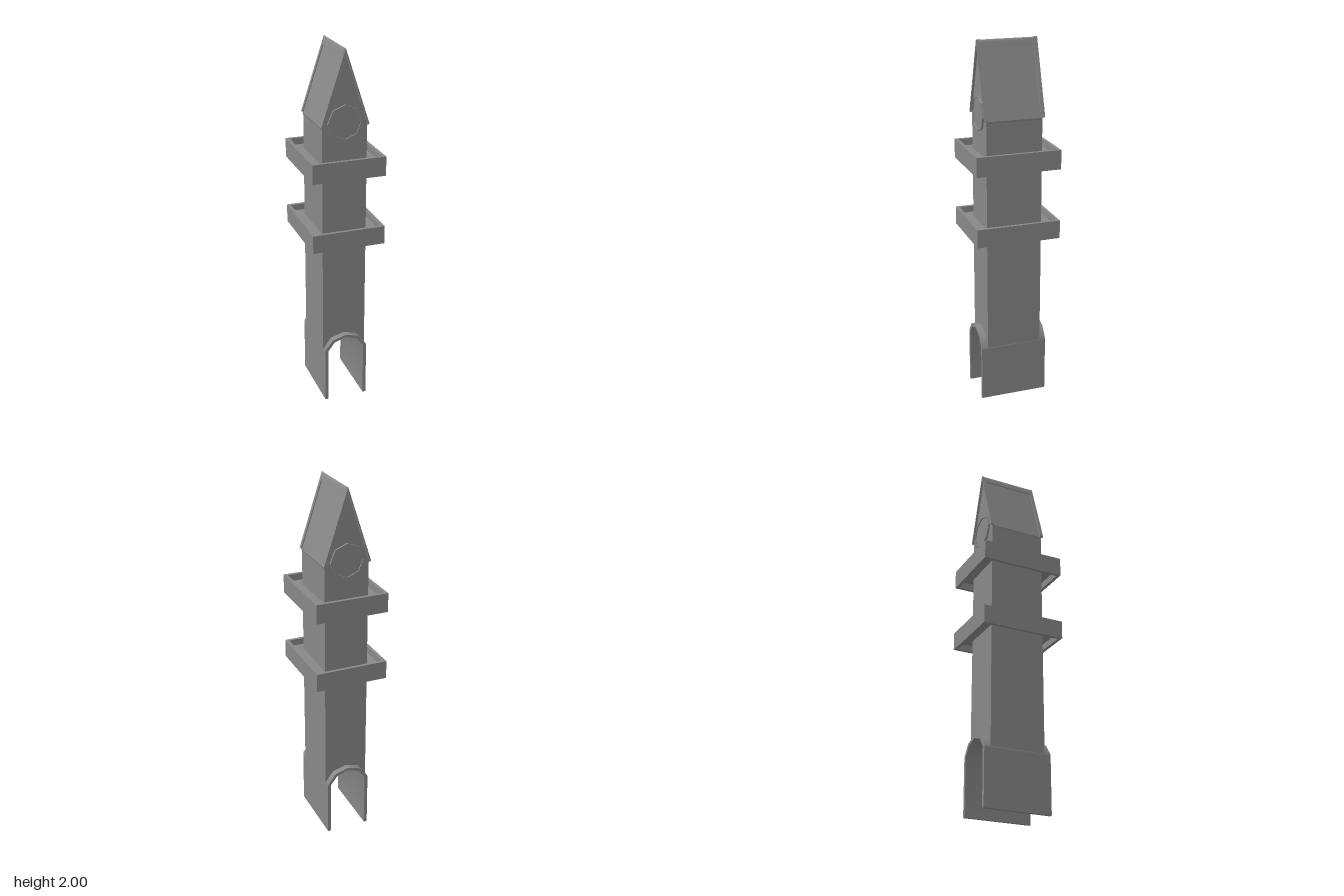
import * as THREE from 'three';
import { toCreasedNormals } from 'three/addons/utils/BufferGeometryUtils.js';

const material = new THREE.MeshStandardMaterial({ color: 0x888888 });

// Shape from points listed on the right half, mirrored to the left
function mirroredShape(half) {
  const left = half.filter(([x]) => x > 0).reverse().map(([x, y]) => [-x, y]);
  return new THREE.Shape([...half, ...left].map(([x, y]) => new THREE.Vector2(x, y)));
}

function octagon(r) {
  return Array.from({ length: 8 }, (_, i) =>
    new THREE.Vector2(r * Math.cos(i * Math.PI / 4), r * Math.sin(i * Math.PI / 4)));
}

export function createModel() {
  const group = new THREE.Group();

  function add(name, geometry, x = 0, y = 0, z = 0) {
    const mesh = new THREE.Mesh(geometry, material);
    mesh.name = name;
    mesh.position.set(x, y, z);
    group.add(mesh);
    return mesh;
  }

  // Extrude along z, centred on the given z
  function extrude(name, shape, depth, y = 0, z = 0) {
    const g = new THREE.ExtrudeGeometry(shape, { depth, bevelEnabled: false });
    g.translate(0, 0, -depth / 2);
    return add(name, g, 0, y, z);
  }

  // Round off the shallow edges of a part, keeping the steep ones sharp
  function smooth(mesh) {
    mesh.geometry = toCreasedNormals(mesh.geometry, 0.9);
  }

  const archOuter = [[0, 0.4], [0.076, 0.378], [0.122, 0.315]];
  const archInner = [[0.104, 0.312], [0.067, 0.362], [0, 0.386]];

  // Shaft with pointed gables and roof slopes, its foot following the arch
  extrude('shaft', mirroredShape([...archOuter, [0.122, 1.59], [0.125, 1.6], [0, 1.982]]), 0.306);

  // Arched passage with two thin side walls, rounded inside
  smooth(extrude('archedBase',
    mirroredShape([...archOuter, [0.122, 0.305], [0.122, 0], [0.104, 0], ...archInner]), 0.375));

  // Two galleries: a rim wall around a thin floor
  for (const [name, bottom, top] of [['lowerGallery', 0.95, 1.05], ['upperGallery', 1.335, 1.44]]) {
    const h = top - bottom, mid = (top + bottom) / 2, t = 0.018;
    for (const s of [-1, 1]) {
      add(name + 'SideWall', new THREE.BoxGeometry(t, h, 0.462), s * (0.2 - t / 2), mid, 0);
      add(name + 'EndWall', new THREE.BoxGeometry(0.4 - 2 * t, h, t), 0, mid, s * (0.231 - t / 2));
    }
    add(name + 'Floor', new THREE.BoxGeometry(0.4 - 2 * t, 0.03, 0.462 - 2 * t), 0, mid, 0);
  }

  // Rounded ridge cap
  smooth(extrude('ridgeCap',
    mirroredShape([[0, 1.998], [0.0025, 1.997], [0.0065, 1.986], [0.0145, 1.957], [0, 1.957]]), 0.31));

  // Matching trim and round window on both gables
  for (const s of [-1, 1]) {
    extrude('gableTrim', mirroredShape([[0, 2], [0.13, 1.605], [0.123, 1.6], [0, 1.978]]), 0.02, 0, s * 0.155);

    const ring = new THREE.Shape(octagon(0.094));
    ring.holes.push(new THREE.Path(octagon(0.087)));
    extrude('windowFrame', ring, 0.02, 1.62, s * 0.154);
    extrude('windowPane', new THREE.Shape(octagon(0.088)), 0.01, 1.62, s * 0.152);
  }

  return group;
}
